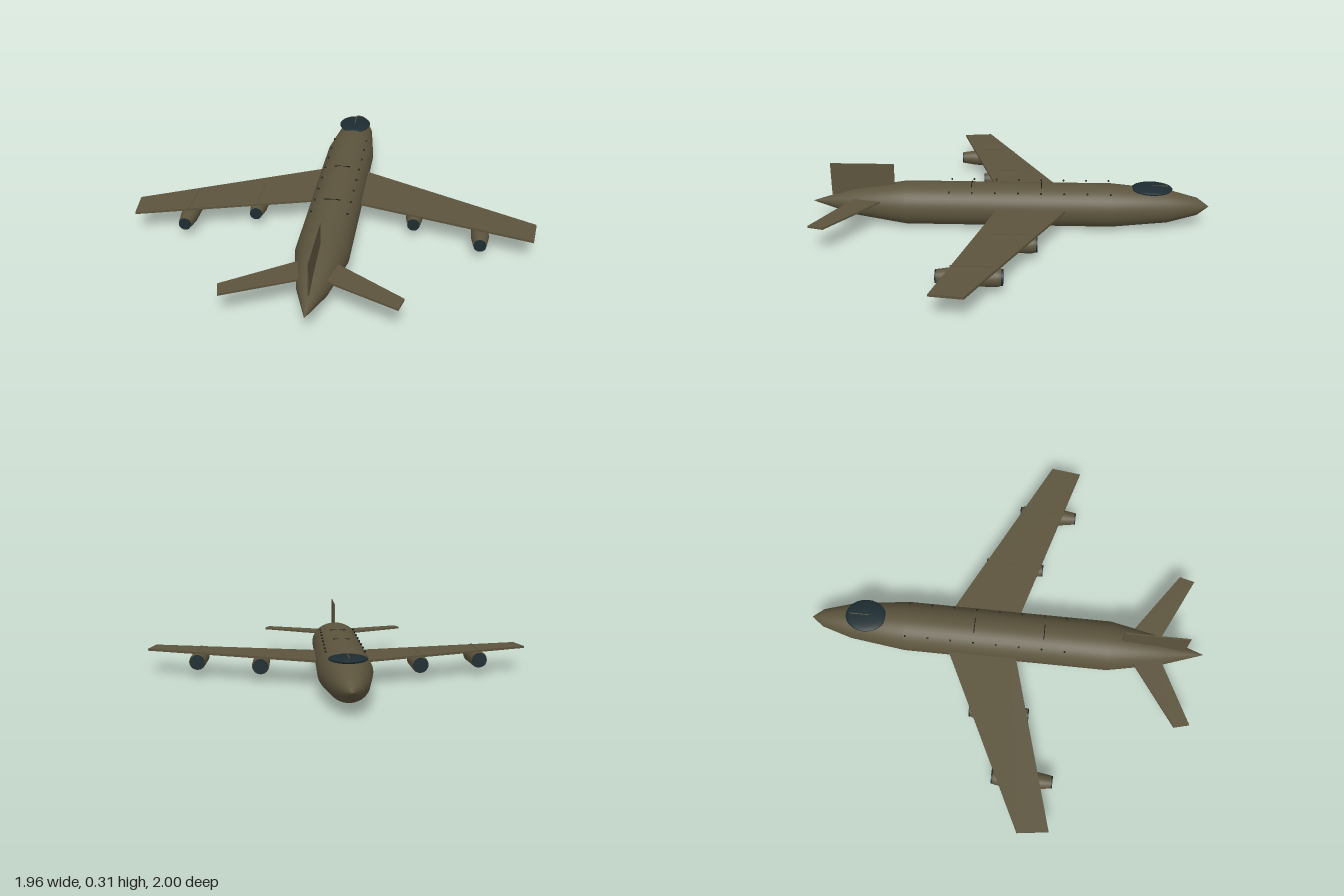
import * as THREE from 'three';

const paint = (name, color) => {
  const m = new THREE.MeshStandardMaterial({ color });
  m.name = name;
  return m;
};

export function createModel() {
  const olive = paint('olive', 0x5c543d);
  const glass = paint('darkGlass', 0x1d2c31);
  const black = paint('black', 0x161614);
  const plane = new THREE.Group();
  plane.name = 'airplane';

  const add = (name, geometry, material, x = 0, y = 0, z = 0, parent = plane) => {
    const mesh = new THREE.Mesh(geometry, material);
    mesh.name = name;
    mesh.position.set(x, y, z);
    parent.add(mesh);
    return mesh;
  };

  // Body of revolution along z, from [radius, z] pairs
  const spindle = (profile, sides) => new THREE.LatheGeometry(
    profile.map(([r, z]) => new THREE.Vector2(r, z)), sides).rotateX(Math.PI / 2);

  // Flat horizontal plate from an [x, z] outline, mirrored by side
  const plate = (outline, side, thickness) => {
    const shape = new THREE.Shape(outline.map(([x, z]) => new THREE.Vector2(side * x, z)));
    return new THREE.ExtrudeGeometry(shape, { depth: thickness, bevelEnabled: false })
      .rotateX(Math.PI / 2).translate(0, thickness / 2, 0);
  };

  // Fuselage: nose at -z, wider than tall along the middle, rounder at the ends
  const hull = spindle([[0, -1], [0.045, -0.94], [0.09, -0.79], [0.126, -0.51],
    [0.126, 0.52], [0.072, 0.79], [0, 1]], 40);
  const p = hull.attributes.position;
  for (let i = 0; i < p.count; i++) {
    const flatten = 0.84 + 0.27 * Math.max(0, Math.abs(p.getZ(i)) - 0.52);
    p.setY(i, p.getY(i) * flatten);
  }
  add('fuselage', hull, olive, 0, 0.107, 0);

  // Flattened canopy with a centre frame
  add('canopy', new THREE.SphereGeometry(1, 32, 12).scale(0.085, 0.016, 0.102), glass, 0, 0.2, -0.71);
  add('canopyFrame', new THREE.BoxGeometry(0.004, 0.004, 0.1), olive, 0, 0.2145, -0.74);

  // Tail fin
  add('tailFin', new THREE.BoxGeometry(0.006, 0.165, 0.32), olive, 0, 0.2285, 0.74);

  // Panel seams across the spine
  for (const z of [-0.16, 0.19]) {
    add('panelSeam', new THREE.BoxGeometry(0.08, 0.004, 0.004), black, 0, 0.211, z);
  }

  const wing = [[0.05, -0.315], [0.98, 0.15], [0.96, 0.3], [0.05, 0.04]];
  const tailplane = [[0.03, 0.6], [0.4, 0.86], [0.38, 0.935], [0.03, 0.765]];
  const nacelle = [[0.036, -0.145], [0.042, -0.125], [0.042, 0.07], [0.031, 0.142]];

  for (const side of [-1, 1]) {
    add('wing', plate(wing, side, 0.011), olive, 0, 0.12, 0);
    add('tailplane', plate(tailplane, side, 0.01), olive, 0, 0.14, 0);

    // Engines hung below the wing on narrow pylons
    for (const [x, z] of [[0.393, 0.004], [0.715, 0.15]]) {
      const engine = new THREE.Group();
      engine.name = 'engine';
      engine.position.set(side * x, 0.075, z);
      plane.add(engine);
      add('nacelle', spindle(nacelle, 24), olive, 0, 0, 0, engine);
      add('intake', new THREE.CylinderGeometry(0.037, 0.037, 0.008, 24).rotateX(Math.PI / 2),
        glass, 0, 0, -0.145, engine);
      add('exhaust', new THREE.CylinderGeometry(0.03, 0.03, 0.008, 24).rotateX(Math.PI / 2),
        glass, 0, 0, 0.144, engine);
      add('pylon', new THREE.BoxGeometry(0.008, 0.032, 0.185), olive, 0, 0.037, -0.01, engine);
    }

    // Row of small studs along the upper fuselage
    for (let i = 0; i < 8; i++) {
      add('stud', new THREE.SphereGeometry(0.005, 8, 6), black, side * 0.088, 0.2, -0.5 + i * 0.114);
    }
  }
  return plane;
}
